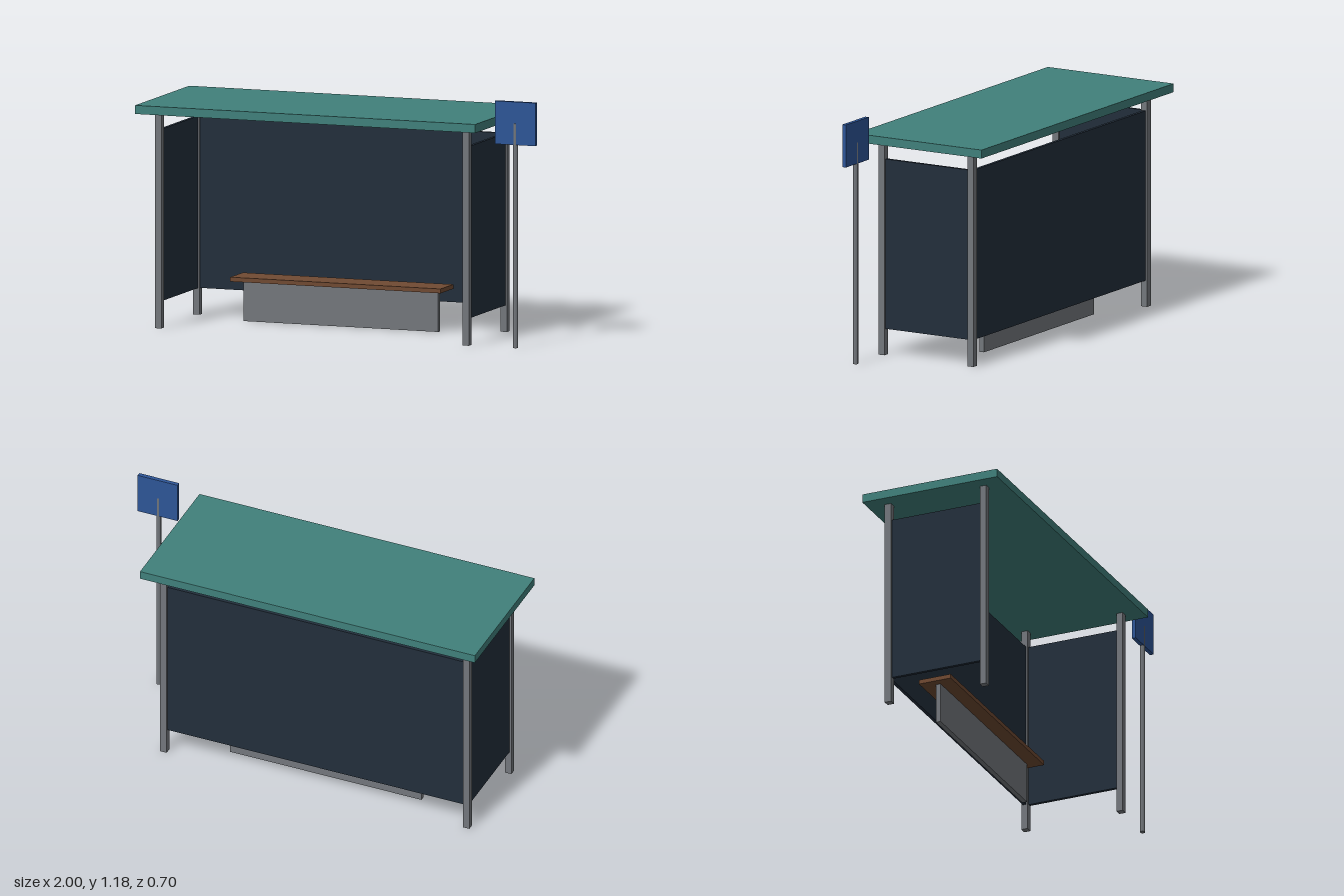
import * as THREE from 'three';

const material = (name, color) => {
  const m = new THREE.MeshStandardMaterial({ color });
  m.name = name;
  return m;
};

export function createModel() {
  const teal = material('roof teal', 0x40807b);
  const glass = material('dark glass', 0x222e3b);
  const steel = material('grey steel', 0x73777c);
  const wood = material('bench wood', 0x704a32);
  const blue = material('sign blue', 0x2d5597);

  const shelter = new THREE.Group();
  shelter.name = 'busShelter';

  const add = (name, geometry, mat, x, y, z) => {
    const mesh = new THREE.Mesh(geometry, mat);
    mesh.name = name;
    mesh.position.set(x, y, z);
    shelter.add(mesh);
  };
  const box = (name, mat, [w, h, d], [x, y, z]) =>
    add(name, new THREE.BoxGeometry(w, h, d), mat, x, y, z);

  const centreX = -0.135, halfX = 0.782, halfZ = 0.247;
  const post = 0.033, postHeight = 1.032;
  const panelHeight = 0.822, panelY = 0.538, panelThickness = 0.016;

  // Flat roof
  box('roof', teal, [1.73, 0.041, 0.7], [centreX, 1.0525, 0]);

  // Corner posts and side panels
  for (const side of [-1, 1]) {
    const x = centreX + side * halfX;
    for (const end of [-1, 1]) {
      box('cornerPost', steel, [post, postHeight, post], [x, postHeight / 2, end * halfZ]);
    }
    box('sidePanel', glass, [panelThickness, panelHeight, 2 * halfZ - post - 0.004], [x, panelY, 0]);
  }

  // Back panel between the rear posts
  box('backPanel', glass, [2 * halfX - post, panelHeight, panelThickness], [centreX, panelY, -halfZ]);

  // Bench
  box('benchSeat', wood, [1.07, 0.021, 0.165], [centreX, 0.2065, -0.123]);
  box('benchSupport', steel, [0.99, 0.196, 0.024], [centreX, 0.098, -0.123]);

  // Stop sign beside the shelter
  add('signPole', new THREE.CylinderGeometry(0.0123, 0.0123, 1.073, 8), steel, 0.895, 0.5365, 0.247);
  box('signBoard', blue, [0.206, 0.206, 0.02], [0.897, 1.074, 0.247]);

  return shelter;
}
